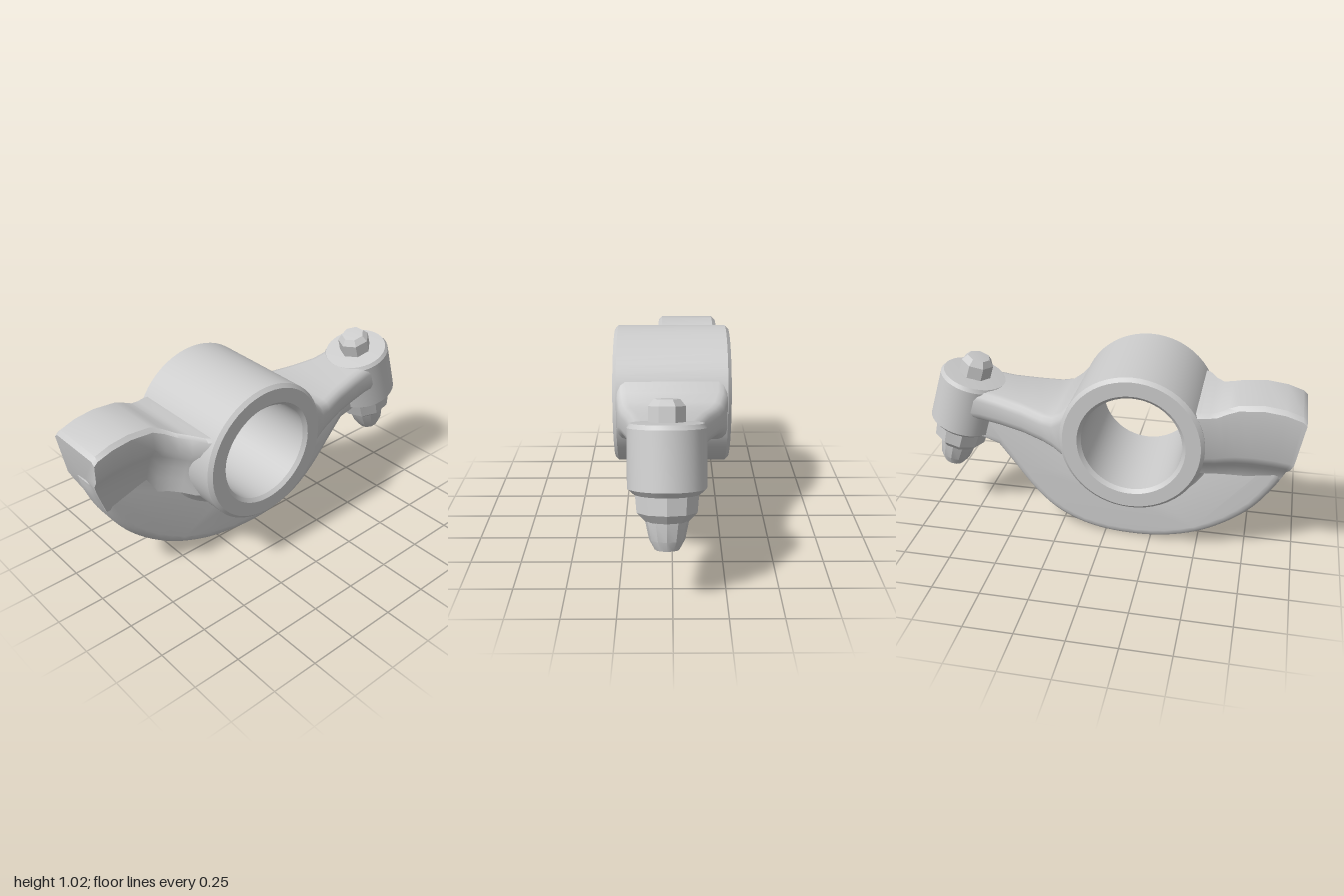
import * as THREE from 'three';
import { toCreasedNormals, mergeVertices } from 'three/addons/utils/BufferGeometryUtils.js';

const RING_Y = 0.66, RING_Z = 0.17;
const material = new THREE.MeshStandardMaterial({ color: 0xcccccc, side: THREE.DoubleSide });

function part(name, geometry, crease = 0.6) {
  const mesh = new THREE.Mesh(toCreasedNormals(geometry, crease), material);
  mesh.name = name;
  return mesh;
}

const v2 = (list) => list.map(([x, y]) => new THREE.Vector2(x, y));

// Lean sideways along the length: the front sits further to the right
function lean(geometry) {
  const p = geometry.attributes.position;
  for (let i = 0; i < p.count; i++) p.setX(i, p.getX(i) - 0.035 - 0.075 * p.getZ(i));
  return geometry;
}

// Skin over cross-sections (equal counts, counter-clockwise from the front), back to front
function loft(sections) {
  const n = sections[0].length, pos = [], index = [];
  sections.forEach((s) => s.forEach((p) => pos.push(...p)));
  for (let i = 0; i < sections.length - 1; i++) {
    for (let j = 0; j < n; j++) {
      const a = i * n + j, b = i * n + (j + 1) % n;
      index.push(a, b, b + n, a, b + n, a + n);
    }
  }
  [0, sections.length - 1].forEach((i) => {
    const centre = pos.length / 3;
    pos.push(...[0, 1, 2].map((k) => sections[i].reduce((sum, p) => sum + p[k], 0) / n));
    for (let j = 0; j < n; j++) {
      const a = i * n + j, b = i * n + (j + 1) % n;
      index.push(centre, ...(i ? [a, b] : [b, a]));
    }
  });
  const g = new THREE.BufferGeometry();
  g.setAttribute('position', new THREE.Float32BufferAttribute(pos, 3));
  g.setIndex(index);
  return g;
}

// Turned part whose axis runs along x, at the pivot
function turnedOnPivot(profile, start = 0, length = Math.PI * 2) {
  return new THREE.LatheGeometry(v2(profile), 56, start, length)
    .rotateZ(-Math.PI / 2).translate(0, RING_Y, RING_Z);
}

function pivotRing() {
  const h = 0.3, ro = 0.363, ri = 0.253, c = 0.018;
  return part('pivotRing', turnedOnPivot([
    [ri, -h + c], [ri + c, -h], [ro - c, -h], [ro, -h + c],
    [ro, h - c], [ro - c, h], [ri + c, h], [ri, h - c], [ri, -h + c],
  ]), 0.5);
}

// Hollow blend between the ring and the web, on the lower side only
function ringFillet() {
  const half = [];
  for (let i = 0; i <= 6; i++) {
    const a = (i / 6) * Math.PI / 2;
    half.push([0.46 - 0.1 * Math.sin(a), 0.06 + 0.1 * (1 - Math.cos(a))]);
  }
  const profile = [...half.map(([r, y]) => [r, -y]).reverse(), ...half];
  return part('ringFillet', lean(turnedOnPivot(profile, -0.15, Math.PI + 0.3)), 0.9);
}

// Crescent web hanging under the ring
function web() {
  const shape = new THREE.Shape();
  shape.moveTo(0.97, 0.66);
  shape.splineThru(v2([
    [0.95, 0.57], [0.88, 0.42], [0.75, 0.25], [0.55, 0.105], [0.33, 0.025], [0.1, 0.002],
    [-0.1, 0.022], [-0.27, 0.09], [-0.4, 0.2], [-0.52, 0.35], [-0.6, 0.45],
  ]));
  shape.lineTo(-0.7, 0.48);
  shape.lineTo(-0.7, 0.66);
  shape.lineTo(-0.13, 0.66);
  shape.absarc(RING_Z, RING_Y, 0.3, Math.PI, Math.PI * 2, false);
  const g = new THREE.ExtrudeGeometry(shape, {
    depth: 0.06, bevelThickness: 0.045, bevelSize: 0.045, bevelOffset: -0.045,
    bevelSegments: 4, curveSegments: 5,
  });
  g.translate(0, 0, -0.03).rotateY(-Math.PI / 2);
  return part('web', lean(g), 0.7);
}

// Front contact pad, flaring into the ring at its rear
function contactPad() {
  const outline = [
    [-0.24, 0.91], [-0.262, 0.89], [-0.262, 0.64], [-0.24, 0.595], [-0.19, 0.55], [-0.165, 0.48],
    [-0.03, 0.48], [-0.01, 0.58], [0.015, 0.67], [0.045, 0.74], [0.075, 0.79], [0.075, 0.89], [0.055, 0.91],
  ];
  // z, top height, sideways flare
  const stations = [
    [0.45, 0.85, 0.22], [0.5, 0.855, 0.18], [0.54, 0.855, 0.11], [0.58, 0.86, 0.06], [0.63, 0.885, 0.02],
    [0.68, 0.905, 0], [0.8, 0.915, 0], [0.9, 0.902, 0], [0.98, 0.875, 0], [1, 0.855, 0],
  ];
  return part('contactPad', loft(stations.map(([z, top, flare]) => outline.map(([x, y]) => {
    const yy = 0.48 + (y - 0.48) * (top - 0.48) / 0.43;
    const pull = z > 0.75 ? Math.max(0, 0.72 - yy) * 0.4 : 0;
    return [x + (x > -0.1 ? flare : -flare * 0.1), yy, z - pull];
  }))), 0.7);
}

// Rear arm, tapering from the ring to the boss
function rearArm() {
  // z, left/right centre, half width, bottom, top
  const stations = [
    [-0.76, 0.025, 0.165, 0.63, 0.81], [-0.66, 0.025, 0.165, 0.625, 0.795], [-0.55, 0.025, 0.175, 0.61, 0.775],
    [-0.42, 0.018, 0.205, 0.6, 0.76], [-0.3, 0.01, 0.245, 0.585, 0.745], [-0.24, 0.005, 0.265, 0.57, 0.75],
    [-0.19, 0, 0.28, 0.545, 0.785], [-0.14, 0, 0.285, 0.5, 0.84], [-0.1, 0, 0.285, 0.49, 0.87],
  ];
  return part('rearArm', loft(stations.map(([z, cx, w, y0, y1]) => {
    const ring = [], r = 0.05;
    for (let q = 0; q < 4; q++) {
      const sx = q === 0 || q === 3 ? 1 : -1, sy = q < 2 ? 1 : -1;
      for (let k = 0; k <= 3; k++) {
        const a = (q + k / 3) * Math.PI / 2;
        ring.push([cx + sx * (w - r) + r * Math.cos(a),
          (y0 + y1) / 2 + sy * ((y1 - y0) / 2 - r) + r * Math.sin(a), z]);
      }
    }
    return ring;
  })), 0.9);
}

// Tilted boss with its adjusting screw and lock nut
function adjuster() {
  const group = new THREE.Group();
  group.name = 'adjuster';
  const turned = (name, profile, sides, crease) =>
    group.add(part(name, mergeVertices(new THREE.LatheGeometry(v2(profile), sides)), crease));
  turned('boss', [[0, -0.01], [0.15, -0.01], [0.177, 0.015], [0.177, 0.28], [0.165, 0.3], [0, 0.31]], 36, 0.5);
  turned('lockNut', [[0, -0.13], [0.1, -0.13], [0.14, -0.09], [0.148, 0], [0, 0]], 10, 0.4);
  turned('screwTip', [[0, -0.265], [0.055, -0.26], [0.08, -0.215], [0.1, -0.12], [0, -0.12]], 12, 0.5);
  turned('screwHead', [[0, 0.28], [0.085, 0.28], [0.085, 0.375], [0.06, 0.405], [0, 0.41]], 7, 0.4);
  group.position.set(0.025, 0.54, -0.815);
  group.rotation.x = 0.295;
  return group;
}

export function createModel() {
  const model = new THREE.Group();
  model.name = 'rockerArm';
  model.add(pivotRing(), ringFillet(), web(), contactPad(), rearArm(), adjuster());
  return model;
}
